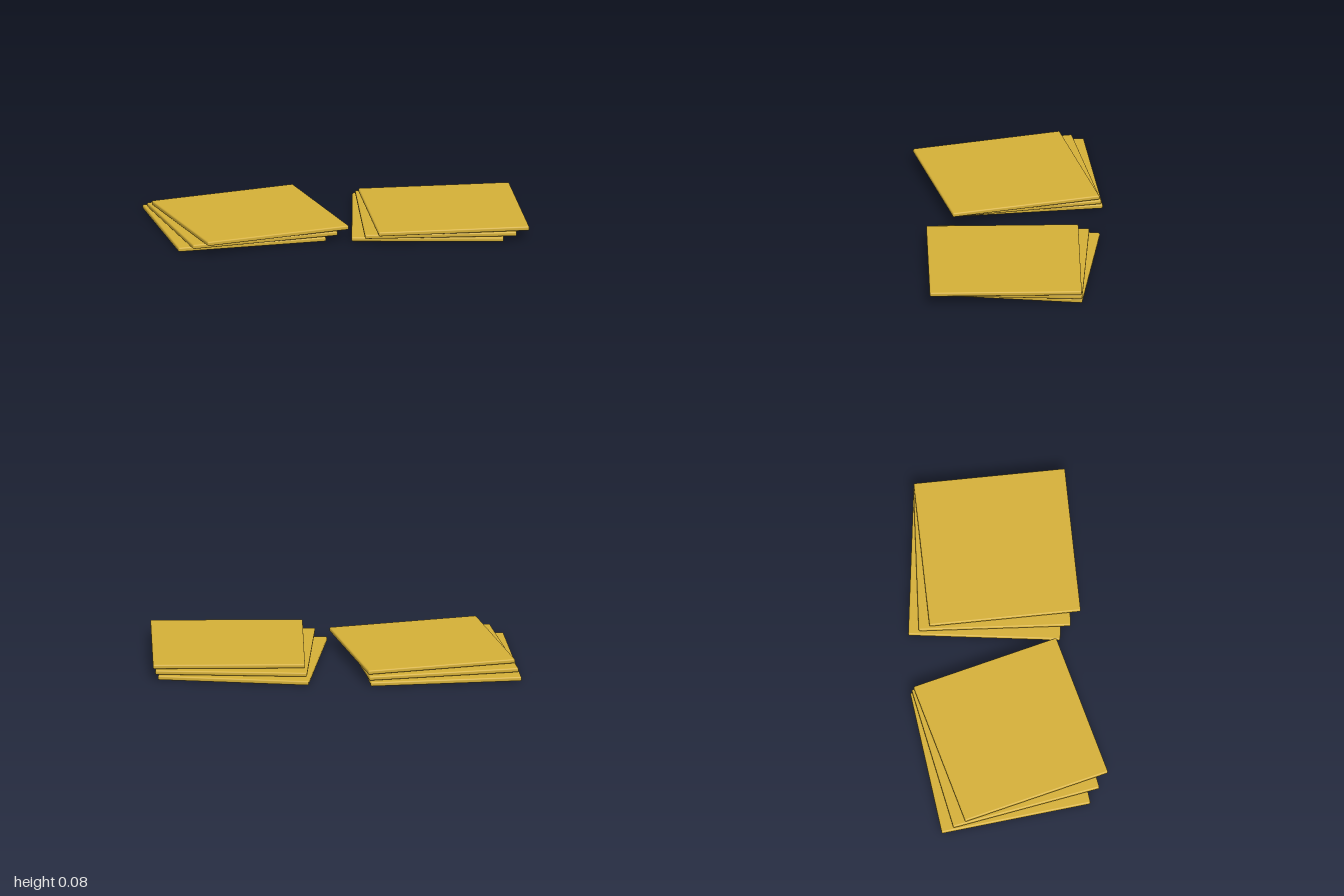
import * as THREE from 'three';
import { RoundedBoxGeometry } from 'three/addons/geometries/RoundedBoxGeometry.js';

const SIZE = 0.813, THICK = 0.024, STEP = 0.03;

export function createModel() {
  const model = new THREE.Group();
  model.name = 'fannedPlateStacks';
  const gold = new THREE.MeshStandardMaterial({ color: 0xd4af37 });
  gold.name = 'gold';
  const plateGeometry = new RoundedBoxGeometry(SIZE, THICK, SIZE, 3, 0.008);

  // Three plates, each turned 4 degrees further and shifted so one back corner stays put
  function addStack(name, x, firstAngle) {
    const stack = new THREE.Group();
    stack.name = name;
    for (let i = 0; i < 3; i++) {
      const plate = new THREE.Mesh(plateGeometry, gold);
      plate.name = `plate${i + 1}`;
      plate.position.set(x + 0.04 * i, THICK / 2 + STEP * i, -0.052 + 0.0305 * i);
      plate.rotation.y = THREE.MathUtils.degToRad(firstAngle + 4 * i);
      stack.add(plate);
    }
    model.add(stack);
  }

  addStack('rightStack', -0.542, 8);
  addStack('leftStack', 0.498, -6);
  return model;
}
